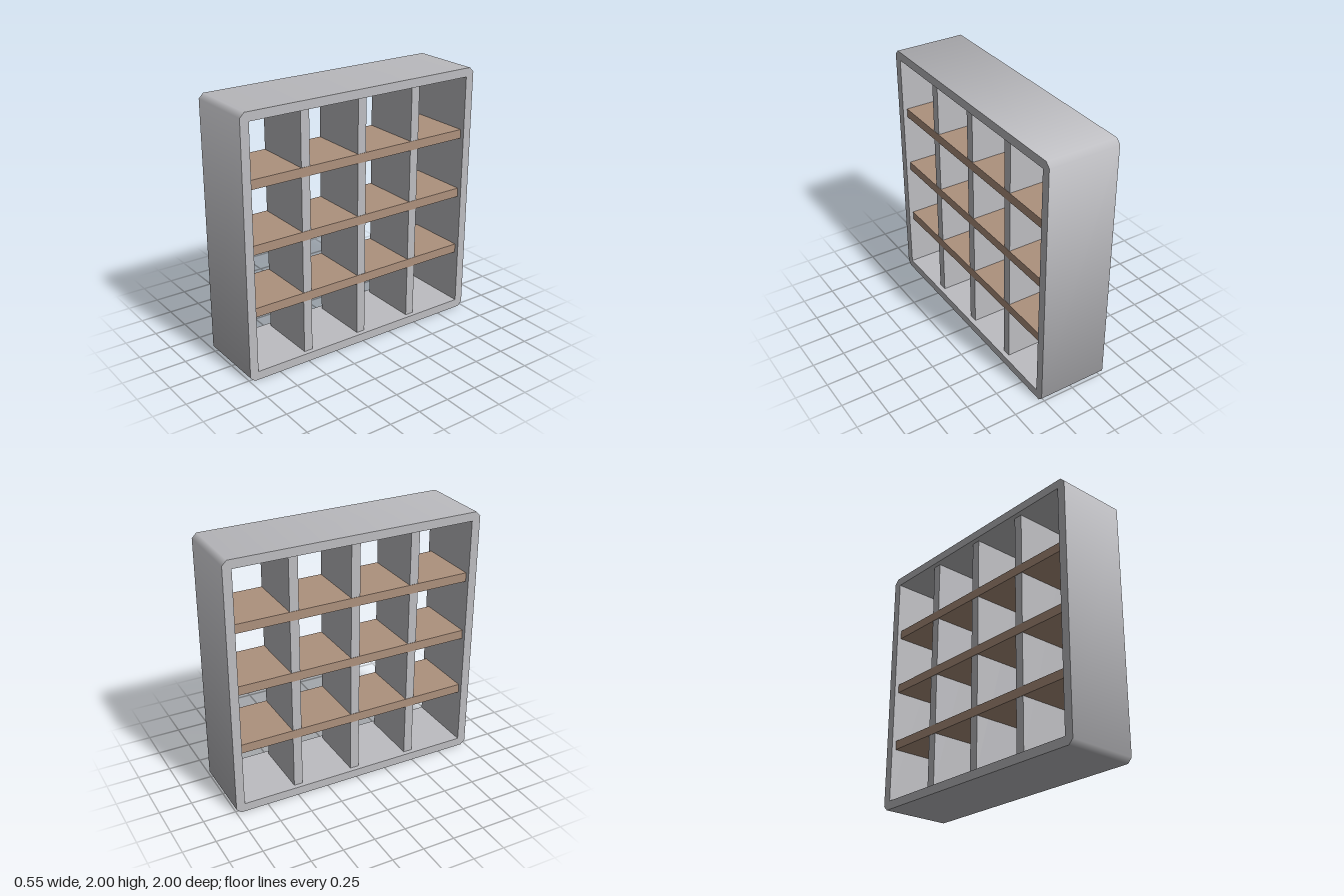
import * as THREE from 'three';

const DEPTH = 0.55;   // frame depth along x
const WALL = 0.067;   // frame wall thickness
const CUT = 0.035;    // corner chamfer
const BOARD = 0.07;   // shelf and divider thickness
const STEP = 0.48;    // spacing of shelves and dividers
const INNER = 2 - 2 * WALL;

const frameMaterial = new THREE.MeshStandardMaterial({ color: 0xbdbdc1 });
frameMaterial.name = 'paleGrey';
const shelfMaterial = new THREE.MeshStandardMaterial({ color: 0xad917d });
shelfMaterial.name = 'lightWood';

// Square tube with chamfered outer corners
function frameGeometry() {
  const a = 1, b = 1 - CUT, w = 1 - WALL;
  const points = (list) => list.map(([x, y]) => new THREE.Vector2(x, y));
  const shape = new THREE.Shape(points([
    [a, -b], [a, b], [b, a], [-b, a], [-a, b], [-a, -b], [-b, -a], [b, -a],
  ]));
  shape.holes.push(new THREE.Path(points([[-w, -w], [-w, w], [w, w], [w, -w]])));
  const geometry = new THREE.ExtrudeGeometry(shape, { depth: DEPTH, bevelEnabled: false });
  geometry.translate(0, 0, -DEPTH / 2);

  // Smooth the outer skin around the chamfers; rims and inner walls stay flat
  const pos = geometry.attributes.position, nor = geometry.attributes.normal;
  const c = Math.cos(Math.PI / 8), s = Math.sin(Math.PI / 8);
  for (let i = 0; i < pos.count; i++) {
    const x = pos.getX(i), y = pos.getY(i);
    const outer = Math.max(Math.abs(x), Math.abs(y)) > w + 0.01;
    if (!outer || Math.abs(nor.getZ(i)) > 0.5) continue;
    const onSide = Math.abs(x) > Math.abs(y);
    nor.setXYZ(i, Math.sign(x) * (onSide ? c : s), Math.sign(y) * (onSide ? s : c), 0);
  }
  return geometry.rotateY(Math.PI / 2);
}

export function createModel() {
  const model = new THREE.Group();
  model.name = 'shelfUnit';

  const add = (name, geometry, material, y, z) => {
    const mesh = new THREE.Mesh(geometry, material);
    mesh.name = name;
    mesh.position.set(0, y, z);
    model.add(mesh);
  };

  add('frame', frameGeometry(), frameMaterial, 1, 0);

  // Boards sit slightly back from the frame rims, shelves just proud of dividers
  const shelf = new THREE.BoxGeometry(0.482, BOARD, INNER);
  const divider = new THREE.BoxGeometry(0.476, INNER, BOARD);
  for (let i = -1; i <= 1; i++) {
    add('shelf' + (i + 2), shelf, shelfMaterial, 1 + i * STEP, 0);
    add('divider' + (i + 2), divider, frameMaterial, 1, i * STEP);
  }
  return model;
}
